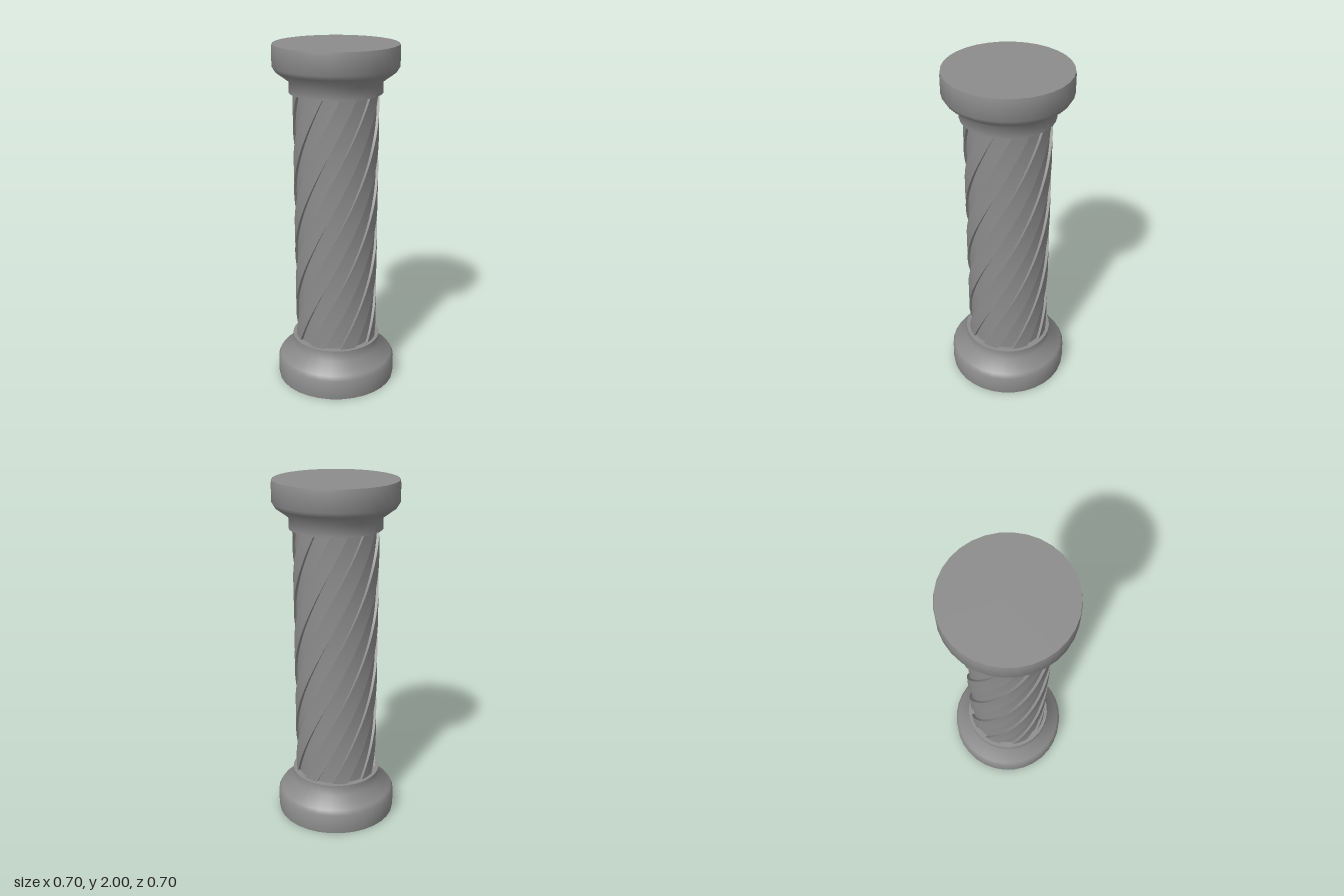
import * as THREE from 'three';
import { toCreasedNormals } from 'three/addons/utils/BufferGeometryUtils.js';

const material = new THREE.MeshStandardMaterial({ color: 0x8c8c8c });

// Round plinth with a softly shaded shoulder and a narrow collar
function makePlinth(name) {
  const profile = [
    [0, 0], [0.347, 0], [0.35, 0.02], [0.35, 0.12], [0.335, 0.145],
    [0.26, 0.2], [0.26, 0.265], [0, 0.265],
  ].map(([r, y]) => new THREE.Vector2(r, y));
  const geometry = toCreasedNormals(new THREE.LatheGeometry(profile, 32), 1.1);
  const mesh = new THREE.Mesh(geometry, material);
  mesh.name = name;
  return mesh;
}

// Shaft with raised ribs and sunken flutes that wind upward by half a turn
function makeShaft() {
  const ribs = 8, steps = 40, bottom = 0.26, top = 1.74;
  const twist = Math.PI;
  const outer = 0.24, inner = 0.225;

  // One cross-section as [angle, radius]; steep walls come from doubled angles
  const ring = [];
  const unit = Math.PI / 16;
  for (let i = 0; i < ribs; i++) {
    const a = i * 4 * unit;
    ring.push(
      [a - unit, inner], [a, inner], [a + unit, inner],
      [a + unit, outer], [a + 2 * unit, outer], [a + 3 * unit, outer],
    );
  }

  const positions = [], indices = [];
  const n = ring.length;
  for (let j = 0; j <= steps; j++) {
    const t = j / steps;
    for (const [angle, r] of ring) {
      const a = angle + twist * t;
      positions.push(r * Math.sin(a), bottom + (top - bottom) * t, r * Math.cos(a));
    }
  }
  for (let j = 0; j < steps; j++) {
    for (let i = 0; i < n; i++) {
      const a = j * n + i, b = j * n + (i + 1) % n;
      indices.push(a, b, b + n, a, b + n, a + n);
    }
  }

  const geometry = new THREE.BufferGeometry();
  geometry.setAttribute('position', new THREE.Float32BufferAttribute(positions, 3));
  geometry.setIndex(indices);
  const mesh = new THREE.Mesh(toCreasedNormals(geometry, 0.65), material);
  mesh.name = 'twistedShaft';
  return mesh;
}

export function createModel() {
  const model = new THREE.Group();
  model.name = 'column';

  const base = makePlinth('base');

  // The capital is the base turned upside down
  const capital = makePlinth('capital');
  capital.rotation.x = Math.PI;
  capital.position.y = 2;

  model.add(base, makeShaft(), capital);
  return model;
}
